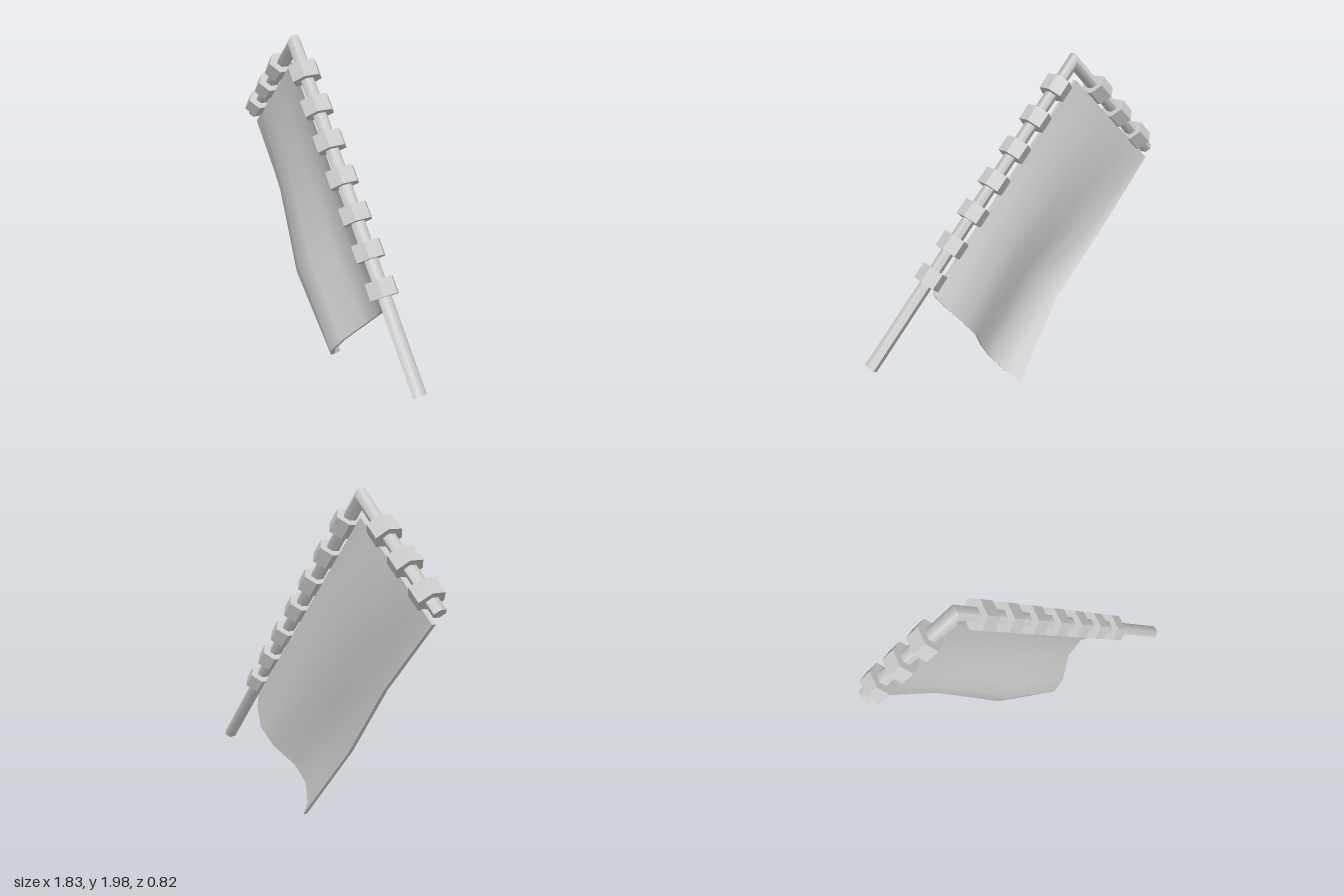
import * as THREE from 'three';
import { toCreasedNormals } from 'three/addons/utils/BufferGeometryUtils.js';

const V = (x, y, z = 0) => new THREE.Vector3(x, y, z);
const mat = (opts = {}) => new THREE.MeshStandardMaterial({ color: 0xcccccc, ...opts });
const TILT = 0.38;   // turn of the frame about the vertical
const FLAT = 0.8;    // hexagons are narrower in the plane of the frame

// Bent pole: a hexagonal tube with a mitred corner
function makePole(longEnd, apex, shortEnd) {
  const path = [longEnd, apex, shortEnd];
  const side = (a, b) => {
    const t = b.clone().sub(a).normalize();
    return V(t.y, -t.x);
  };
  const n1 = side(longEnd, apex), n2 = side(apex, shortEnd);
  const mitre = n1.clone().add(n2).divideScalar(1 + n1.dot(n2));
  const sides = [n1, mitre, n2];
  const geo = new THREE.CylinderGeometry(0.045, 0.045, 1, 6, 2);
  const pos = geo.attributes.position;
  for (let i = 0; i < pos.count; i++) {
    const row = Math.round((pos.getY(i) + 0.5) * 2);
    const p = path[row].clone().addScaledVector(sides[row], pos.getX(i) * FLAT);
    pos.setXYZ(i, p.x, p.y, pos.getZ(i));
  }
  const pole = new THREE.Mesh(toCreasedNormals(geo, 1.25), mat());
  pole.name = 'bentPole';
  return pole;
}

// Hexagonal loops spaced along one arm of the pole
function makeLoops(name, from, to, first, last, count) {
  const group = new THREE.Group();
  group.name = name;
  const geo = new THREE.CylinderGeometry(0.095, 0.095, 0.1, 6);
  geo.scale(FLAT, 1, 1);
  const material = mat({ flatShading: true });
  for (let i = 0; i < count; i++) {
    const loop = new THREE.Mesh(geo, material);
    loop.name = 'hangingLoop';
    loop.position.lerpVectors(from, to, first + (last - first) * i / (count - 1));
    loop.rotation.z = Math.atan2(to.y - from.y, to.x - from.x) - Math.PI / 2;
    group.add(loop);
  }
  return group;
}

// Cloth: a patch blended between two straight and two wavy edges, with thickness
function makeCloth() {
  const outer = [V(-0.86, 1.33, -0.35), V(-0.56, 0.93, -0.24), V(-0.28, 0.49, -0.08), V(0.05, 0.015, -0.04)];
  const lower = [V(0.53, 0.67, 0.21), V(0.5, 0.6, 0.15), V(0.43, 0.5, 0.075), V(0.33, 0.39, 0.065),
    V(0.21, 0.26, 0.13), V(0.13, 0.155, 0.13), V(0.07, 0.055, 0.05), V(0.05, 0.015, -0.04)];
  const A = V(-0.36, 1.84, -0.135), B = outer[0], C = outer[3], D = lower[0];
  const half = V(-Math.sin(TILT), 0, Math.cos(TILT)).multiplyScalar(0.015);
  const lerp = (a, b, t) => a.clone().lerp(b, t);

  const point = (i, j) => {
    const u = i / 3, v = (D.x - lower[j].x) / (D.x - C.x);
    const alongV = lerp(lerp(A, D, u), outer[i], v);
    const alongU = lerp(lerp(A, B, v), lower[j], u);
    const corners = lerp(lerp(A, D, u), lerp(B, C, u), v);
    return alongV.add(alongU).sub(corners);
  };

  // each cross-section runs along the front and returns along the back
  const n = lower.length, m = n * 2, pts = [], index = [];
  for (let i = 0; i < 4; i++) {
    for (let k = 0; k < m; k++) {
      const p = k < n ? point(i, k).add(half) : point(i, m - 1 - k).sub(half);
      pts.push(p.x, p.y, p.z);
    }
  }
  const quad = (a, b, c, d) => index.push(a, b, c, a, c, d);
  for (let i = 0; i < 3; i++) {
    for (let k = 0; k < m; k++) {
      const k2 = (k + 1) % m;
      quad(i * m + k, i * m + k2, (i + 1) * m + k2, (i + 1) * m + k);
    }
  }
  for (let j = 0; j < n - 1; j++) {
    const e = 3 * m;
    quad(m - 1 - j, m - 2 - j, j + 1, j);
    quad(e + j, e + j + 1, e + m - 2 - j, e + m - 1 - j);
  }
  const geo = new THREE.BufferGeometry();
  geo.setAttribute('position', new THREE.Float32BufferAttribute(pts, 3));
  geo.setIndex(index);
  const cloth = new THREE.Mesh(toCreasedNormals(geo, 1.0), mat());
  cloth.name = 'wavyCloth';
  return cloth;
}

export function createModel() {
  const model = new THREE.Group();
  model.name = 'hangingBanner';

  // Frame, laid out flat and then turned
  const frame = new THREE.Group();
  frame.name = 'frame';
  const apex = V(-0.377, 1.95), longEnd = V(0.955, 0.3), shortEnd = V(-0.955, 1.385);
  frame.add(
    makePole(longEnd, apex, shortEnd),
    makeLoops('longArmLoops', apex, longEnd, 0.09, 0.713, 7),
    makeLoops('shortArmLoops', apex, shortEnd, 0.31, 0.84, 3),
  );
  frame.rotation.y = -TILT;
  frame.position.z = 0.01;

  model.add(frame, makeCloth());
  return model;
}
